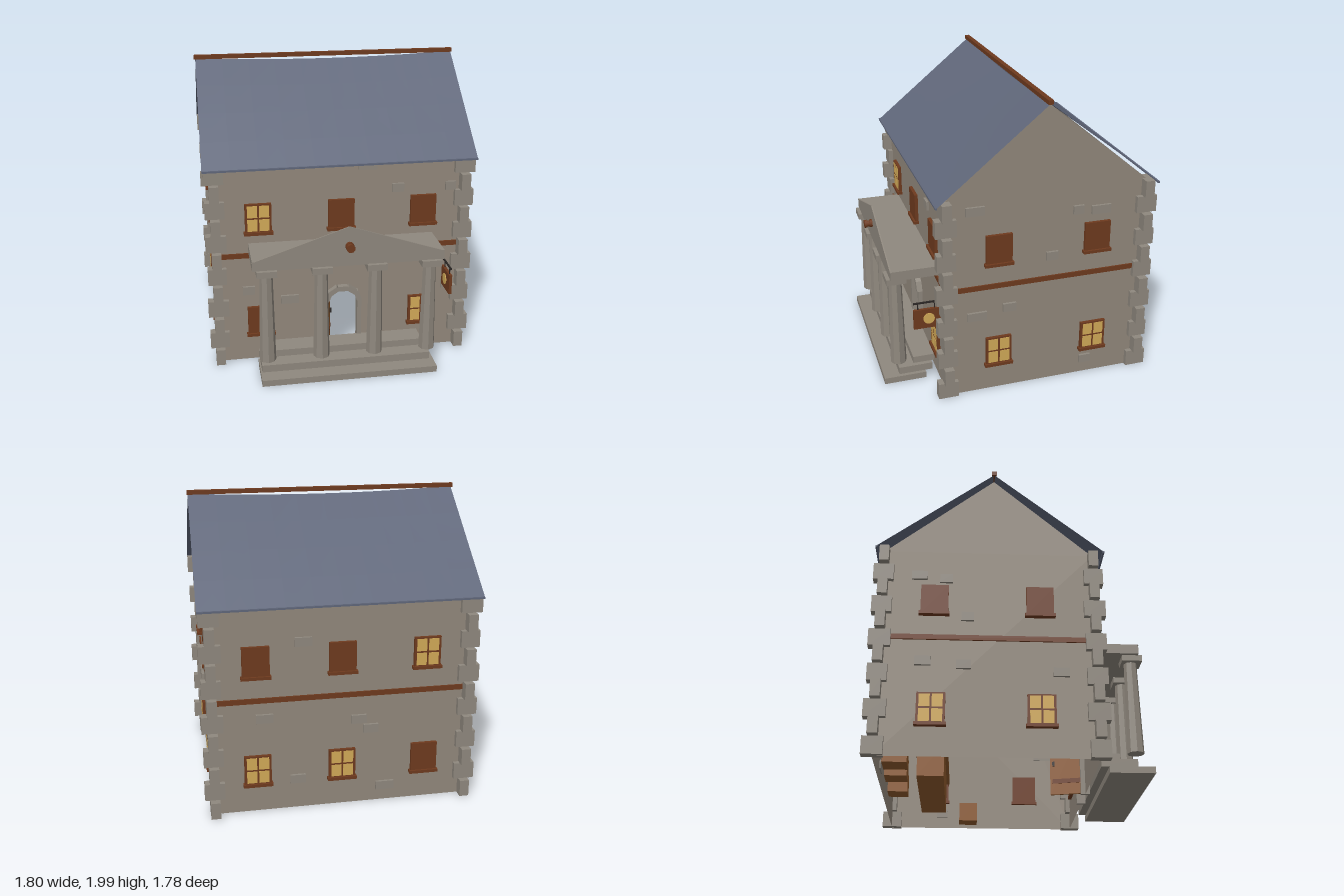
import * as THREE from 'three';

const mat = (name, color, double) => {
  const m = new THREE.MeshStandardMaterial({ color });
  m.name = name;
  if (double) m.side = THREE.DoubleSide;
  return m;
};

export function createModel() {
  const stone = mat('wallStone', 0x92887c, true);
  const trim = mat('trimStone', 0x8f887e, true);
  const slate = mat('slate', 0x60677a, true);
  const brown = mat('darkWood', 0x6e3a1e);
  const wood = mat('lightWood', 0x8f5a2c);
  const glow = mat('lampGlow', 0xd2aa58);
  const iron = mat('iron', 0x2b2725);

  const root = new THREE.Group();
  root.name = 'stoneHouse';
  const add = (name, geo, m, x = 0, y = 0, z = 0, parent = root) => {
    const mesh = new THREE.Mesh(geo, m);
    mesh.name = name;
    mesh.position.set(x, y, z);
    parent.add(mesh);
    return mesh;
  };
  const box = (name, m, w, h, d, x, y, z, parent) =>
    add(name, new THREE.BoxGeometry(w, h, d), m, x, y, z, parent);
  // box given by its limits
  const span = (name, m, x0, x1, y0, y1, z0, z1) =>
    box(name, m, x1 - x0, y1 - y0, z1 - z0, (x0 + x1) / 2, (y0 + y1) / 2, (z0 + z1) / 2);
  const shape = pts => new THREE.Shape(pts.map(p => new THREE.Vector2(p[0], p[1])));

  const HX = 0.83, ZF = 0.52, ZB = -0.82, RIDGE = -0.122, EAVE = 1.4, BASE = 0.01;

  // put an object on one of the four walls; u runs along the wall
  const onWall = (side, u, y, obj) => {
    const [x, z, r] = {
      front: [u, ZF, 0], right: [HX, u, Math.PI / 2],
      back: [u, ZB, Math.PI], left: [-HX, u, -Math.PI / 2],
    }[side];
    obj.position.set(x, y, z);
    obj.rotation.y = r;
    root.add(obj);
  };

  // walls, with a doorway notch in the front and gables at both ends
  const frontWall = shape([[-HX, BASE], [-0.1, BASE], [-0.1, 0.42], [-0.05, 0.48], [0.07, 0.48],
    [0.12, 0.42], [0.12, BASE], [HX, BASE], [HX, EAVE], [-HX, EAVE]]);
  add('frontWall', new THREE.ShapeGeometry(frontWall), stone, 0, 0, ZF);
  const backWall = shape([[-HX, BASE], [HX, BASE], [HX, EAVE], [-HX, EAVE]]);
  add('backWall', new THREE.ShapeGeometry(backWall), stone, 0, 0, ZB).rotation.y = Math.PI;
  for (const s of [1, -1]) {
    const end = shape([[-ZF, BASE], [-ZB, BASE], [-ZB, EAVE], [-RIDGE, 1.97], [-ZF, EAVE]]
      .map(([u, y]) => [u * s, y]));
    add(s > 0 ? 'rightGableWall' : 'leftGableWall', new THREE.ShapeGeometry(end), stone, HX * s)
      .rotation.y = s * Math.PI / 2;
  }

  // roof slopes, sagging a little along the ridge
  for (const [name, zEave] of [['frontRoof', 0.59], ['backRoof', -0.877]]) {
    const g = new THREE.PlaneGeometry(1.8, 1, 10, 4);
    const p = g.attributes.position;
    for (let i = 0; i < p.count; i++) {
      const x = p.getX(i), t = p.getY(i) + 0.5;
      const sag = 0.025 * t * (1 - (x / 0.9) ** 2);
      p.setXYZ(i, -Math.sign(zEave) * -x * (1 - 0.006 * t), EAVE - 0.008 + (0.586 * t) - sag,
        zEave + (RIDGE - zEave) * t);
    }
    g.computeVertexNormals();
    add(name, g, slate);
    box(name + 'Edge', slate, 1.8, 0.012, 0.012, 0, EAVE - 0.006, zEave * 0.995);
  }
  span('ridgeBeam', brown, -0.905, 0.9, 1.973, 2, RIDGE - 0.016, RIDGE + 0.016);

  // timber band between the floors
  for (const z of [ZF, ZB]) box('floorBand', brown, 1.68, 0.034, 0.02, 0, 0.783, z);
  for (const x of [-HX, HX]) box('floorBand', brown, 0.02, 0.034, ZF - ZB, x, 0.783, (ZF + ZB) / 2);

  // corner blocks, alternately long and short
  for (const sx of [-1, 1]) for (const z of [ZF, ZB]) for (let i = 0; i < 12; i++) {
    const long = 0.13 + 0.008 * Math.sin(i * 5 + sx * 2 + z), short = 0.062;
    const alongZ = i % 2 === 0 ? i !== 99 : false;
    box('cornerBlock', trim, alongZ ? short : long, 0.112, alongZ ? long : short,
      sx * HX, 0.067 + i * 0.1165, z);
  }

  // windows: lit ones have four glowing panes
  const addWindow = (side, u, y, lit) => {
    const g = new THREE.Group();
    g.name = lit ? 'litWindow' : 'shutteredWindow';
    box('windowFrame', brown, 0.174, 0.205, 0.044, 0, 0, 0, g);
    box('windowSill', brown, 0.192, 0.02, 0.06, 0, -0.1, 0.006, g);
    if (lit) for (const sx of [-1, 1]) for (const sy of [-1, 1])
      box('windowPane', glow, 0.066, 0.082, 0.004, sx * 0.039, 0.004 + sy * 0.047, 0.022, g);
    onWall(side, u, y, g);
  };
  const LOW = 0.305, HIGH = 1.043;
  [['front', -0.55, HIGH, 1], ['front', 0, HIGH, 0], ['front', 0.555, HIGH, 0],
    ['front', -0.55, LOW, 0], ['front', 0.56, LOW, 1],
    ['back', 0.55, HIGH, 0], ['back', 0, HIGH, 0], ['back', -0.55, HIGH, 1],
    ['back', 0.55, LOW, 1], ['back', 0, LOW, 1], ['back', -0.55, LOW, 0]]
    .forEach(w => addWindow(...w));
  for (const side of ['right', 'left']) for (const u of [0.175, -0.49]) {
    addWindow(side, u, HIGH, 0);
    addWindow(side, u, LOW, 1);
  }

  // single stones standing proud of the walls: along, height, width
  const proud = {
    front: [[0.175, 1.37, 0.12], [0.38, 1.205, 0.08], [0.74, 1.2, 0.07], [0.255, 0.655, 0.07],
      [-0.625, 0.53, 0.08], [-0.35, 0.445, 0.12], [0.74, 0.48, 0.07]],
    right: [[0.33, 1.32, 0.12], [-0.355, 1.245, 0.07], [-0.51, 1.23, 0.13], [-0.185, 0.945, 0.08],
      [0.32, 0.58, 0.13], [0.1, 0.615, 0.09], [-0.445, 0.12, 0.08]],
    back: [[0.25, 1.16, 0.11], [0.5, 0.66, 0.11], [-0.11, 0.61, 0.1], [-0.19, 0.54, 0.1],
      [0.29, 0.22, 0.1], [-0.29, 0.12, 0.12]],
    left: [[-0.59, 1.22, 0.1], [-0.42, 1.2, 0.08], [-0.28, 0.93, 0.08], [-0.55, 0.62, 0.1],
      [-0.3, 0.6, 0.09], [0.3, 0.56, 0.1]],
  };
  for (const side in proud) for (const [u, y, w] of proud[side]) {
    const g = new THREE.Group();
    g.name = 'proudStone';
    box('stoneBlock', trim, w, 0.058, 0.024, 0, 0, 0.005, g);
    onWall(side, u, y, g);
  }

  // entrance steps
  span('lowerStep', trim, -0.58, 0.59, BASE, 0.053, 0.61, 0.895);
  span('middleStep', trim, -0.57, 0.565, 0.053, 0.103, 0.56, 0.79);
  span('upperStep', trim, -0.53, 0.535, 0.103, 0.15, 0.54, 0.685);

  // porch columns with square capitals
  for (const x of [-0.53, -0.175, 0.18, 0.54]) {
    const c = new THREE.CylinderGeometry(0.042, 0.054, 0.62, 8).toNonIndexed();
    c.computeVertexNormals();
    add('porchColumn', c, trim, x, 0.46, 0.787);
    box('columnCapital', trim, 0.13, 0.042, 0.13, x, 0.785, 0.79);
  }

  // porch roof slab and thin pediment with a round boss
  span('porchSlab', trim, -0.62, 0.625, 0.803, 0.868, 0.52, 0.83);
  const ped = shape([[-0.625, 0.862], [0.625, 0.862], [0, 1.07]]);
  add('pediment', new THREE.ExtrudeGeometry(ped, { depth: 0.008, bevelEnabled: false }), trim, 0, 0, 0.823);
  for (const [r, z] of [[0.028, 0.84], [0.022, 0.858], [0.028, 0.876]])
    add('pedimentBoss', new THREE.CylinderGeometry(r, r, 0.018, 10), brown, 0, 0.94, z)
      .rotation.x = Math.PI / 2;

  // stone surround of the doorway
  for (const x of [-0.105, 0.125])
    span('doorJamb', trim, x - 0.014, x + 0.014, BASE, 0.42, 0.49, 0.55);
  for (let i = 0; i < 5; i++) {
    const a = Math.PI * (0.12 + 0.19 * i);
    const b = box('archStone', trim, 0.068, 0.035, 0.07, 0.01 + Math.cos(a) * 0.108, 0.418 + Math.sin(a) * 0.088, 0.525);
    b.rotation.z = a - Math.PI / 2;
  }

  // door standing open inwards
  const door = new THREE.Group();
  door.name = 'openDoor';
  door.position.set(-0.095, 0.02, 0.5);
  door.rotation.y = 1.33;
  box('doorBoard', wood, 0.21, 0.43, 0.016, 0.105, 0.215, 0, door);
  for (const y of [0.09, 0.34]) box('doorStrap', brown, 0.19, 0.03, 0.024, 0.1, y, 0, door);
  box('doorHandle', iron, 0.015, 0.03, 0.04, 0.185, 0.21, 0, door);
  root.add(door);

  // furniture inside
  span('counter', wood, -0.43, 0.43, 0.02, 0.235, -0.58, -0.41);
  span('counterTop', wood, -0.45, 0.45, 0.235, 0.255, -0.6, -0.39);
  for (const [x, z, s] of [[-0.02, -0.72, 0.13], [-0.36, -0.71, 0.14], [-0.62, -0.7, 0.15], [0.7, -0.25, 0.13]])
    box('crate', wood, s, s, s, x, 0.02 + s / 2, z);

  // hanging sign on an iron bracket
  span('signBracket', iron, 0.71, 0.72, 0.664, 0.674, 0.52, 0.71);
  for (const z of [0.57, 0.68]) span('signHanger', iron, 0.712, 0.718, 0.62, 0.668, z - 0.003, z + 0.003);
  span('signBoard', brown, 0.705, 0.725, 0.485, 0.622, 0.53, 0.71);
  add('signDisc', new THREE.CylinderGeometry(0.038, 0.038, 0.03, 16), glow, 0.715, 0.555, 0.61)
    .rotation.z = Math.PI / 2;

  return root;
}
